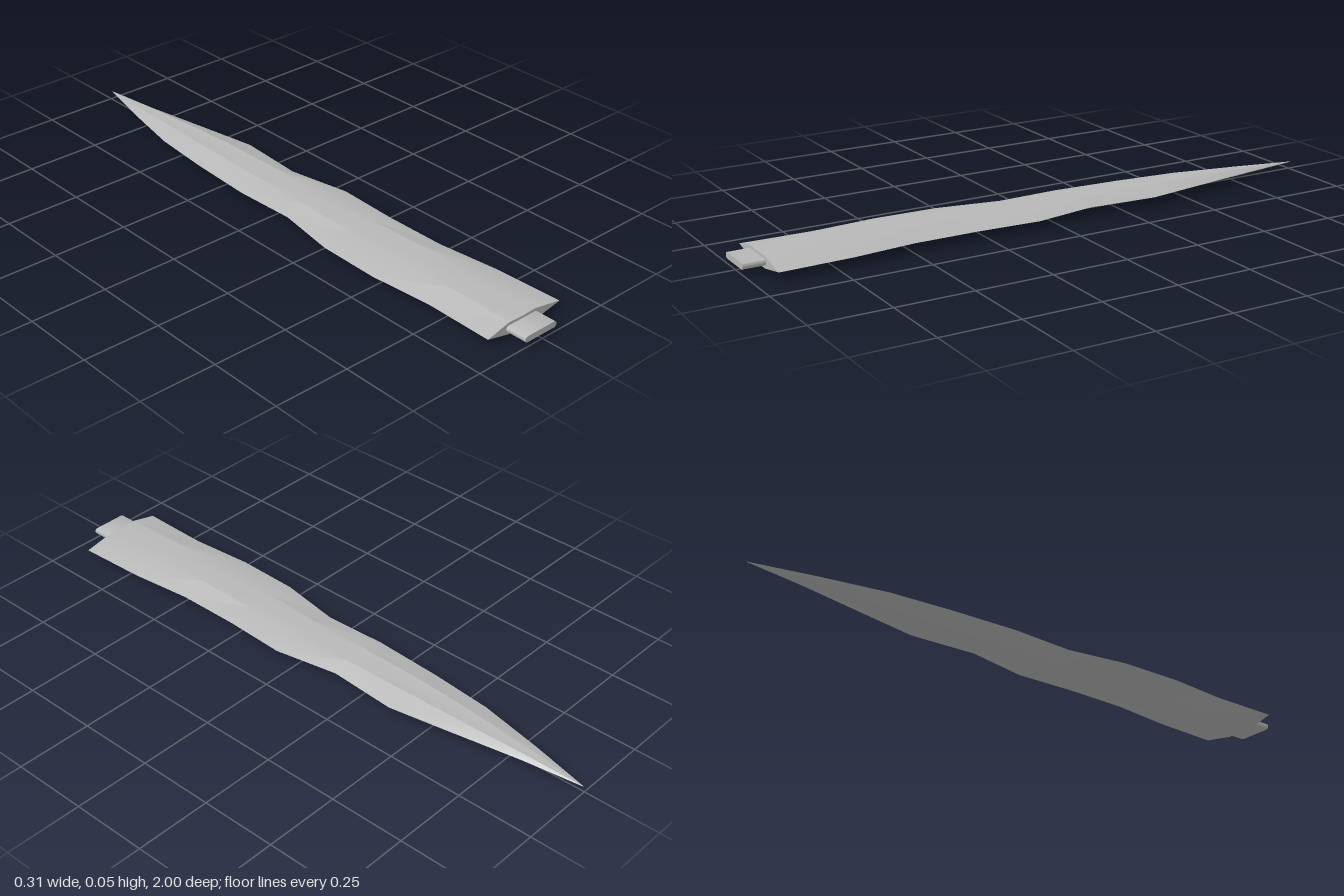
import * as THREE from 'three';
import { mergeVertices, toCreasedNormals } from 'three/addons/utils/BufferGeometryUtils.js';

const MID = 0.026; // height of the cutting edges

// Stations from base to tip: z, left edge, left ridge, right ridge, right edge, half thickness
const STATIONS = [
  [0.93, -0.145, -0.06, 0.045, 0.15, 0.02],
  [0.7, -0.14, -0.06, 0.045, 0.142, 0.025],
  [0.49, -0.156, -0.06, 0.042, 0.12, 0.025],
  [0.28, -0.151, -0.055, 0.042, 0.12, 0.021],
  [0.07, -0.114, -0.045, 0.042, 0.13, 0.019],
  [-0.14, -0.121, -0.042, 0.04, 0.092, 0.021],
  [-0.37, -0.108, -0.037, 0.037, 0.108, 0.021],
  [-0.58, -0.088, -0.026, 0.03, 0.073, 0.017],
  [-0.8, -0.042, -0.01, 0.018, 0.035, 0.01],
  [-1, 0.007, 0.0075, 0.0085, 0.009, 0.0005],
];

// Cross-section with two ridges and a shallow hollow on each face
function section([z, x0, x1, x2, x3, h]) {
  const xm = (x1 + x2) / 2;
  return [[x3, 0], [x2, h], [xm, h * 0.88], [x1, h], [x0, 0], [x1, -h], [xm, -h * 0.88], [x2, -h]]
    .map(([x, y]) => [x, MID + y, z]);
}

function bladeGeometry() {
  const rings = STATIONS.map(section);
  const n = rings[0].length;
  const index = [];
  for (let i = 0; i < rings.length - 1; i++) {
    for (let j = 0; j < n; j++) {
      const k = (j + 1) % n;
      const a = i * n + j, b = i * n + k, c = b + n, d = a + n;
      index.push(a, d, c, a, c, b);
    }
  }
  // End caps, fanned from the left edge so the hollow stays clean
  const last = (rings.length - 1) * n;
  for (let j = 1; j < n - 1; j++) {
    const p = (4 + j) % n, q = (5 + j) % n;
    index.push(4, p, q, last + 4, last + q, last + p);
  }
  const g = new THREE.BufferGeometry();
  g.setAttribute('position', new THREE.Float32BufferAttribute(rings.flat(2), 3));
  g.setIndex(index);
  return toCreasedNormals(g, 0.32);
}

// Flat bar with rounded edges that carries the handle
function tangGeometry() {
  const w = 0.064, h = 0.01, r = 0.0099;
  const s = new THREE.Shape();
  s.absarc(w - r, 0, h, -Math.PI / 2, Math.PI / 2);
  s.absarc(-w + r, 0, h, Math.PI / 2, Math.PI * 1.5);
  const g = new THREE.ExtrudeGeometry(s, { depth: 0.1, bevelEnabled: false, curveSegments: 6 });
  g.deleteAttribute('uv');
  g.deleteAttribute('normal');
  return toCreasedNormals(mergeVertices(g), 0.7);
}

export function createModel() {
  const group = new THREE.Group();
  const steel = new THREE.MeshStandardMaterial({ color: 0xb8b8b8 });
  steel.name = 'steel grey';

  const blade = new THREE.Mesh(bladeGeometry(), steel);
  blade.name = 'blade';

  const tang = new THREE.Mesh(tangGeometry(), steel);
  tang.name = 'tang';
  tang.position.set(-0.008, MID, 0.9);

  group.add(blade, tang);
  return group;
}
